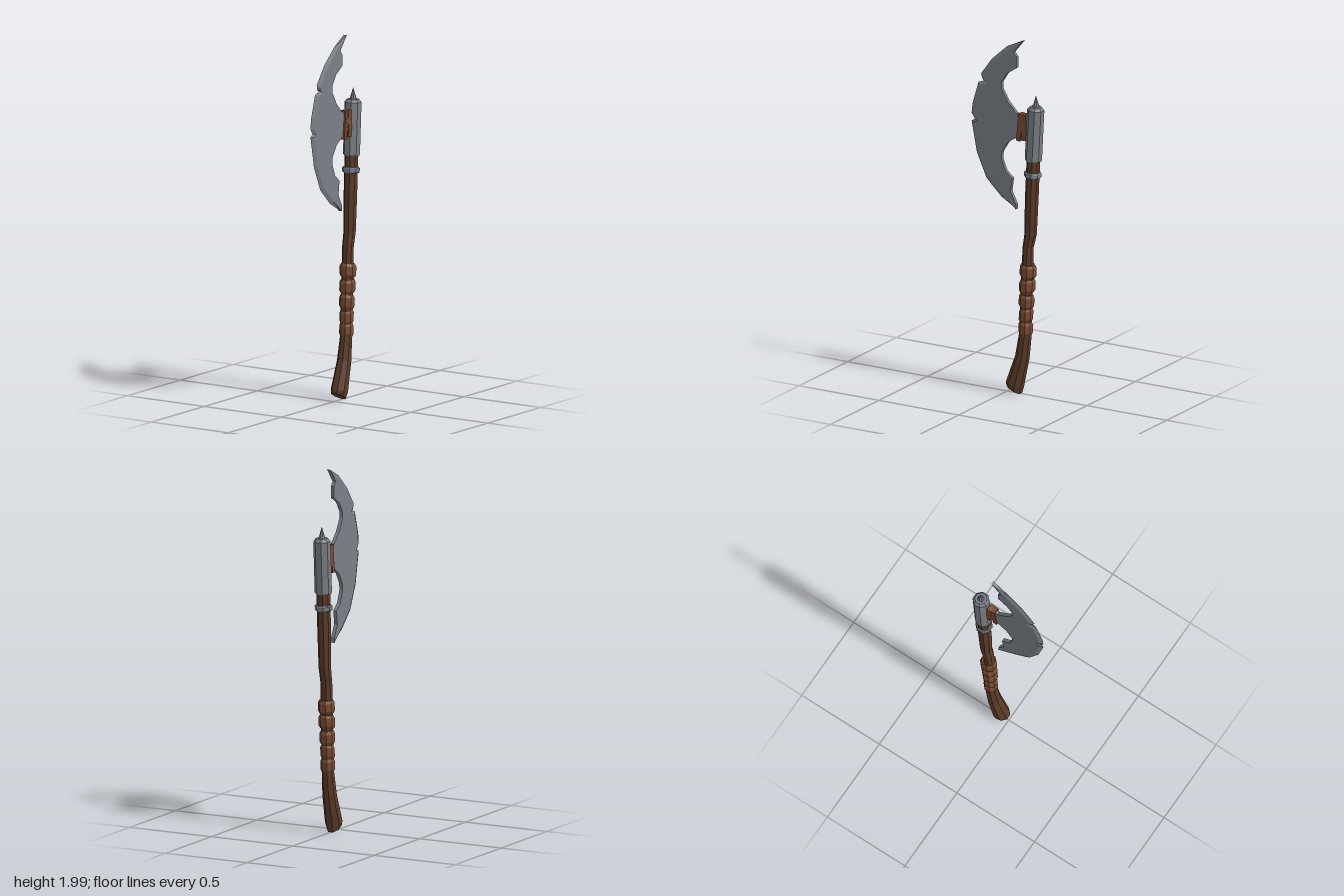
import * as THREE from 'three';

const mat = (color) => new THREE.MeshStandardMaterial({ color, flatShading: true });
const steel = mat(0x7b7f86), wood = mat(0x5c3b29), leather = mat(0x7a4c33);

function mesh(name, geometry, material) {
  const m = new THREE.Mesh(geometry, material);
  m.name = name;
  return m;
}

function fromPositions(pos) {
  const g = new THREE.BufferGeometry();
  g.setAttribute('position', new THREE.Float32BufferAttribute(pos, 3));
  g.computeVertexNormals();
  return g;
}

// Eight-sided loft; each section is [y, z, halfWidthX, halfWidthZ, slope], bottom to top
function loft(sections, n = 8) {
  const k = 1 / Math.cos(Math.PI / n);
  const rings = sections.map(([y, z, rx, rz, slope = 0]) =>
    Array.from({ length: n }, (_, i) => {
      const a = ((i + 0.5) / n) * Math.PI * 2;
      const dz = rz * k * Math.sin(a);
      return [rx * k * Math.cos(a), y + slope * dz, z + dz];
    }));
  const centre = (s) => [0, s[0], s[1]];
  const pos = [];
  const tri = (...pts) => pts.forEach((p) => pos.push(...p));
  const last = rings.length - 1;
  for (let i = 0; i < n; i++) {
    const i2 = (i + 1) % n;
    for (let j = 0; j < last; j++) {
      const lo = rings[j], hi = rings[j + 1];
      tri(lo[i], hi[i], lo[i2]);
      tri(lo[i2], hi[i], hi[i2]);
    }
    tri(centre(sections[0]), rings[0][i], rings[0][i2]);
    tri(centre(sections[last]), rings[last][i2], rings[last][i]);
  }
  return fromPositions(pos);
}

function createBlade() {
  const half = 0.01;
  // Cutting edge, top tip to bottom tip, as [z, y]
  const edge = [[-0.106, 2], [0, 1.95], [0.095, 1.865], [0.164, 1.77], [0.158, 1.75], [0.133, 1.737],
    [0.18, 1.72], [0.217, 1.595], [0.223, 1.54], [0.203, 1.508], [0.223, 1.495],
    [0.19, 1.325], [0.13, 1.19], [0.037, 1.1], [-0.06, 1.045]];
  // Inner outline, bottom tip back to top tip, passing the neck
  const inner = [[-0.06, 1.075], [-0.027, 1.14], [-0.037, 1.215], [0.005, 1.25], [0.03, 1.315],
    [0.027, 1.355], [-0.01, 1.415], [-0.06, 1.447], [-0.16, 1.455], [-0.16, 1.575], [-0.064, 1.585],
    [-0.01, 1.64], [0.03, 1.71], [0.03, 1.745], [-0.005, 1.8], [-0.064, 1.84], [-0.064, 1.9], [-0.045, 1.925]];
  // Shoulder where the flat side meets the ground edge
  const shoulder = edge.map(([z, y], i) => {
    if (i === 0 || i === edge.length - 1) return [z, y];
    const dz = -0.15 - z, dy = 1.5 - y, s = 0.022 / Math.hypot(dz, dy);
    return [z + dz * s, y + dy * s];
  });
  const shape = new THREE.Shape([...shoulder, ...inner].map(([z, y]) => new THREE.Vector2(z, y)));
  const body = new THREE.ExtrudeGeometry(shape, { depth: 2 * half, bevelEnabled: false });
  body.rotateY(-Math.PI / 2).translate(half, 0, 0);

  const pos = [];
  for (const s of [1, -1]) {
    for (let i = 0; i < edge.length - 1; i++) {
      const S = (j) => [s * half, shoulder[j][1], shoulder[j][0]];
      const E = (j) => [0, edge[j][1], edge[j][0]];
      const quad = [S(i), E(i), E(i + 1), S(i), E(i + 1), S(i + 1)];
      if (s < 0) quad.reverse();
      quad.forEach((p) => pos.push(...p));
    }
  }
  const blade = new THREE.Group();
  blade.name = 'blade';
  blade.add(mesh('bladeBody', body, steel), mesh('cuttingEdge', fromPositions(pos), steel));
  return blade;
}

export function createModel() {
  const axe = new THREE.Group();
  axe.name = 'axe';

  // Curved wooden handle with a flared, slanted foot
  axe.add(mesh('handle', loft([
    [0.036, -0.043, 0.036, 0.042, 0.55],
    [0.065, -0.05, 0.043, 0.045, 0.3],
    [0.22, -0.095, 0.036, 0.036, 0.2],
    [0.36, -0.115, 0.03, 0.032],
    [0.6, -0.122, 0.03, 0.03],
    [0.84, -0.131, 0.03, 0.027],
    [0.92, -0.147, 0.031, 0.031],
    [1.1, -0.153, 0.034, 0.034],
    [1.4, -0.167, 0.035, 0.034],
  ]), wood));

  // Leather grip bands
  const bands = [[0.387, -0.116, 0.036, 0.1], [0.46, -0.118, 0.036, -0.12], [0.54, -0.121, 0.039, 0.12],
    [0.625, -0.126, 0.041, -0.1], [0.71, -0.131, 0.042, 0.1]];
  for (const [y, z, r, slope] of bands) {
    axe.add(mesh('gripBand', loft([
      [y - 0.037, z + 0.002, r * 0.82, r * 0.82, slope],
      [y - 0.022, z + 0.001, r, r, slope],
      [y + 0.022, z - 0.001, r, r, slope],
      [y + 0.037, z - 0.002, r * 0.82, r * 0.82, slope],
    ]), leather));
  }

  // Steel collar ring and head sleeve
  axe.add(mesh('collarRing', loft([
    [1.24, -0.159, 0.04, 0.04, 0.05], [1.246, -0.159, 0.045, 0.043, 0.05],
    [1.265, -0.16, 0.045, 0.043, 0.05], [1.271, -0.16, 0.04, 0.04, 0.05],
  ]), steel));
  axe.add(mesh('headSleeve', loft([
    [1.333, -0.164, 0.039, 0.039, 0.05], [1.34, -0.164, 0.043, 0.043, 0.05],
    [1.622, -0.179, 0.043, 0.043, 0.05], [1.638, -0.18, 0.031, 0.031, 0.05],
  ]), steel));

  // Top spike
  const spike = mesh('topSpike', new THREE.ConeGeometry(0.021, 0.07, 8), steel);
  spike.position.set(0, 1.667, -0.18);
  axe.add(spike);

  axe.add(createBlade());

  // Leather lashings around the blade neck: [z, y, width, height, depth, tilt]
  const lashings = [[-0.119, 1.515, 0.042, 0.145, 0.028, 0.05], [-0.087, 1.512, 0.036, 0.155, 0.024, -0.1],
    [-0.103, 1.515, 0.038, 0.135, 0.022, 0.22]];
  for (const [z, y, w, h, d, tilt] of lashings) {
    const lash = mesh('neckLashing', new THREE.BoxGeometry(w, h, d), leather);
    lash.position.set(0.002, y, z);
    lash.rotation.x = tilt;
    axe.add(lash);
  }
  return axe;
}
